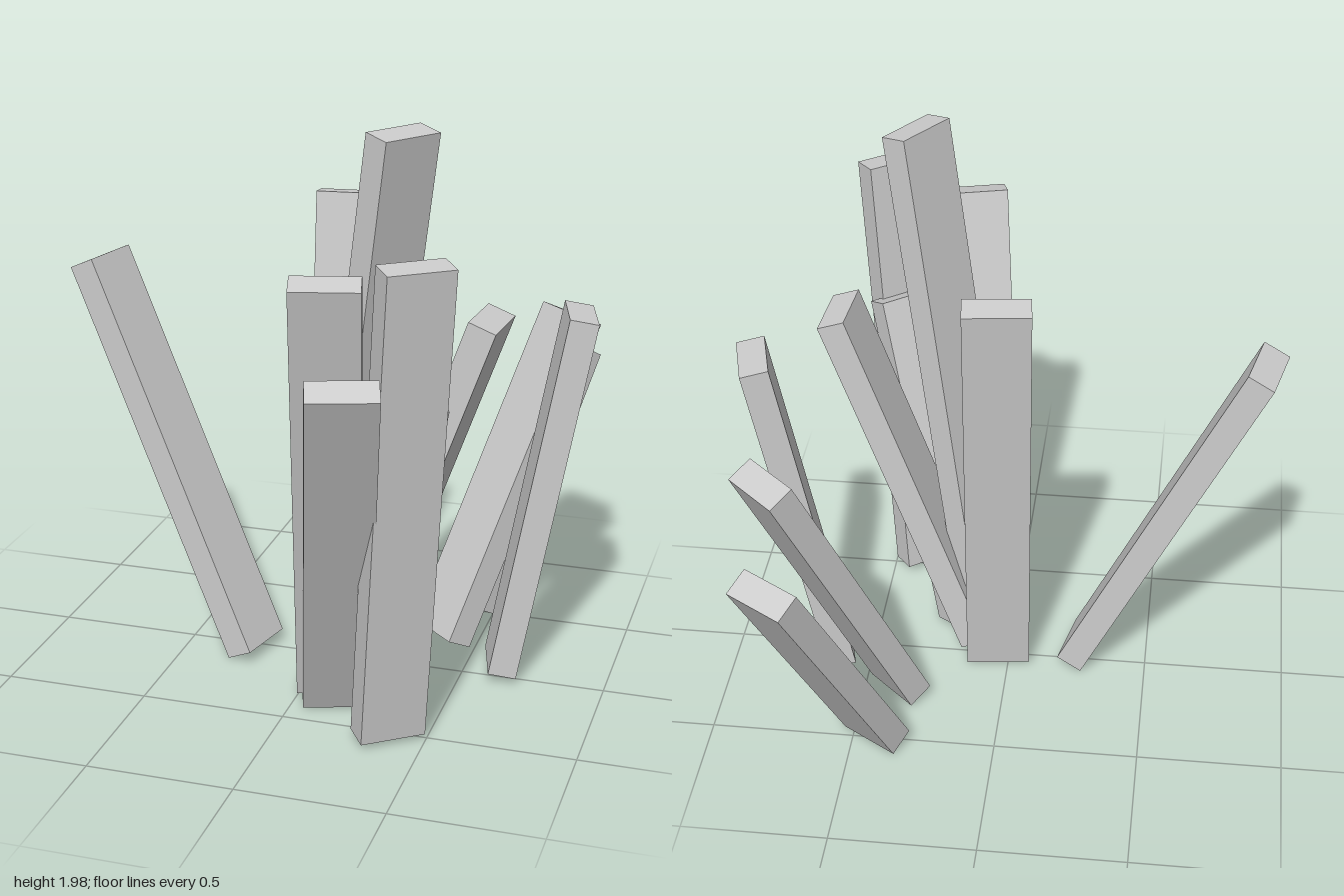
import * as THREE from 'three';

const WIDTH = 0.225;
const DEPTH = 0.098;

// Each beam: midpoints of the bottom and top edges of its inner (upward) face
const BEAMS = [
  { name: 'leftOutlierBeam', from: [-0.206, 0.045, 0.056], to: [-0.817, 1.4, -0.082] },
  { name: 'tallestBeam', from: [0.034, 0.03, 0.1], to: [0.304, 1.985, 0.28] },
  { name: 'backUprightBeam', from: [0.045, 0.03, 0.026], to: [0.019, 1.645, -0.204] },
  { name: 'backShortBeam', from: [0.392, 0.055, -0.452], to: [0.656, 0.97, -0.87] },
  { name: 'backMiddleBeam', from: [0.341, 0.05, -0.19], to: [0.7, 1.18, -0.582] },
  { name: 'sideUprightBeam', from: [0.577, 0.037, -0.045], to: [0.804, 1.325, -0.106] },
  { name: 'sideLeaningBeam', from: [0.081, 0.035, 0.12], to: [0.561, 1.37, 0.153] },
  { name: 'frontTallBeam', from: [0.083, 0.03, 0.213], to: [0.185, 1.587, 0.612] },
  { name: 'frontInnerBeam', from: [0.142, 0.037, 0.174], to: [0.418, 1.197, 0.532] },
  { name: 'frontUprightBeam', from: [0.348, 0.03, 0.498], to: [0.463, 1.667, 0.653] },
  { name: 'frontLowBeam', from: [0.125, 0.042, 0.3], to: [0.315, 1.35, 0.873] },
];

export function createModel() {
  const group = new THREE.Group();
  group.name = 'leaningBeams';
  const grey = new THREE.MeshStandardMaterial({ color: 0xcccccc });
  grey.name = 'light grey';

  for (const { name, from, to } of BEAMS) {
    const bottom = new THREE.Vector3(...from);
    const top = new THREE.Vector3(...to);
    const axis = top.clone().sub(bottom);
    const length = axis.length();
    const up = axis.clone().normalize();
    // Outward direction: the heading of the lean, made square to the beam
    const out = new THREE.Vector3(axis.x, 0, axis.z);
    out.addScaledVector(up, -out.dot(up)).normalize();
    const side = up.clone().cross(out);

    const beam = new THREE.Mesh(new THREE.BoxGeometry(WIDTH, length, DEPTH), grey);
    beam.name = name;
    beam.quaternion.setFromRotationMatrix(new THREE.Matrix4().makeBasis(side, up, out));
    beam.position.copy(bottom).add(top).multiplyScalar(0.5).addScaledVector(out, DEPTH / 2);
    group.add(beam);
  }
  return group;
}
